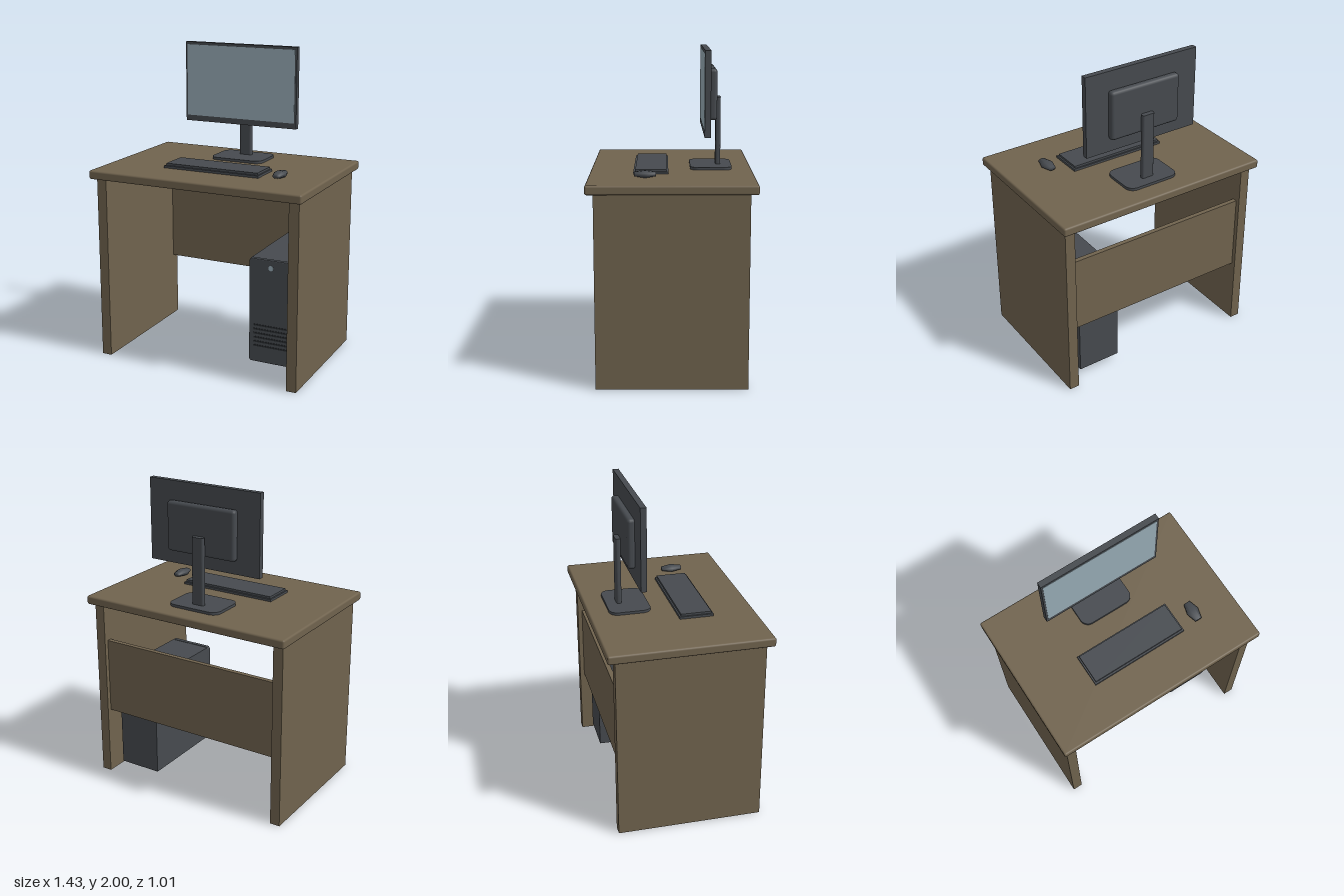
import * as THREE from 'three';
import { RoundedBoxGeometry } from 'three/addons/geometries/RoundedBoxGeometry.js';

const material = (name, color) => {
  const m = new THREE.MeshStandardMaterial({ color });
  m.name = name;
  return m;
};

export function createModel() {
  const model = new THREE.Group();
  model.name = 'computerDesk';
  const wood = material('brownWood', 0x70634e);
  const dark = material('charcoalPlastic', 0x464a4f);
  const glass = material('paleBlueGlass', 0x98acb6);
  const black = material('ventBlack', 0x2a2d31);

  const add = (parent, name, geometry, mat) => {
    const mesh = new THREE.Mesh(geometry, mat);
    mesh.name = name;
    parent.add(mesh);
    return mesh;
  };
  const group = (name) => {
    const g = new THREE.Group();
    g.name = name;
    model.add(g);
    return g;
  };
  // Box given by its limits on each axis, with an optional edge radius
  const box = (parent, name, mat, [x0, x1], [y0, y1], [z0, z1], radius = 0) => {
    const size = [x1 - x0, y1 - y0, z1 - z0];
    const geometry = radius
      ? new RoundedBoxGeometry(...size, 2, radius)
      : new THREE.BoxGeometry(...size);
    const mesh = add(parent, name, geometry, mat);
    mesh.position.set((x0 + x1) / 2, (y0 + y1) / 2, (z0 + z1) / 2);
    return mesh;
  };
  // Plate with rounded corners, extruded along +z from its centre
  const roundedPlate = (w, h, r, depth, bevel = 0) => {
    const x = w / 2 - bevel, y = h / 2 - bevel;
    const s = new THREE.Shape();
    s.absarc(x - r, y - r, r, 0, Math.PI / 2);
    s.absarc(-x + r, y - r, r, Math.PI / 2, Math.PI);
    s.absarc(-x + r, -y + r, r, Math.PI, Math.PI * 1.5);
    s.absarc(x - r, -y + r, r, Math.PI * 1.5, Math.PI * 2);
    return new THREE.ExtrudeGeometry(s, {
      depth: depth - 2 * bevel, curveSegments: 6, bevelEnabled: bevel > 0,
      bevelSize: bevel, bevelThickness: bevel, bevelSegments: 2,
    }).translate(0, 0, bevel);
  };

  // Desk
  const desk = group('desk');
  box(desk, 'deskTop', wood, [-0.717, 0.717], [1.192, 1.248], [-0.505, 0.505], 0.012);
  for (const [side, name] of [[1, 'leftSidePanel'], [-1, 'rightSidePanel']]) {
    const xs = [side * 0.622, side * 0.687].sort((a, b) => a - b);
    box(desk, name, wood, xs, [0, 1.194], [-0.458, 0.458]);
  }
  box(desk, 'backPanel', wood, [-0.624, 0.624], [0.443, 0.937], [-0.43, -0.4]);

  // Monitor and its stand
  const monitor = group('monitor');
  box(monitor, 'monitorHousing', dark, [-0.393, 0.393], [1.48, 2], [-0.235, -0.198]);
  box(monitor, 'screen', glass, [-0.381, 0.379], [1.517, 1.983], [-0.2, -0.196]);
  box(monitor, 'rearCover', dark, [-0.243, 0.243], [1.567, 1.882], [-0.28, -0.23], 0.02);
  const neck = add(monitor, 'standNeck', roundedPlate(0.084, 0.032, 0.013, 0.437), dark);
  neck.rotation.x = -Math.PI / 2;
  neck.position.set(0, 1.255, -0.296);
  const base = add(monitor, 'standBase', roundedPlate(0.36, 0.262, 0.055, 0.018), dark);
  base.rotation.x = -Math.PI / 2;
  base.position.set(0, 1.247, -0.249);

  // Keyboard
  const keyboard = group('keyboard');
  box(keyboard, 'keyboardBase', dark, [-0.327, 0.325], [1.247, 1.263], [0.02, 0.234]);
  box(keyboard, 'keyBlock', dark, [-0.317, 0.315], [1.262, 1.277], [0.03, 0.222]);

  // Mouse: a faceted spindle lying along z
  const profile = [[0, -0.066], [0.024, -0.065], [0.042, 0], [0.024, 0.065], [0, 0.066]]
    .map(([r, y]) => new THREE.Vector2(r, y));
  const mouseGeometry = new THREE.LatheGeometry(profile, 8, Math.PI / 8);
  mouseGeometry.rotateX(Math.PI / 2).scale(1, 0.58, 1);
  add(model, 'mouse', mouseGeometry, dark).position.set(0.439, 1.27, 0.16);

  // Computer tower
  const tower = group('tower');
  box(tower, 'towerCase', dark, [0.28, 0.566], [0.057, 0.737], [-0.39, 0.22]);
  add(tower, 'frontBezel', roundedPlate(0.294, 0.688, 0.012, 0.03, 0.006), dark)
    .position.set(0.423, 0.397, 0.216);
  const button = add(tower, 'powerButton', new THREE.CylinderGeometry(0.017, 0.017, 0.008, 20), glass);
  button.rotation.x = Math.PI / 2;
  button.position.set(0.423, 0.69, 0.245);
  for (let i = 0; i < 6; i++) {
    const y = 0.164 + i * 0.0277;
    box(tower, 'ventSlot', black, [0.308, 0.536], [y - 0.005, y + 0.005], [0.241, 0.249]);
  }

  return model;
}
